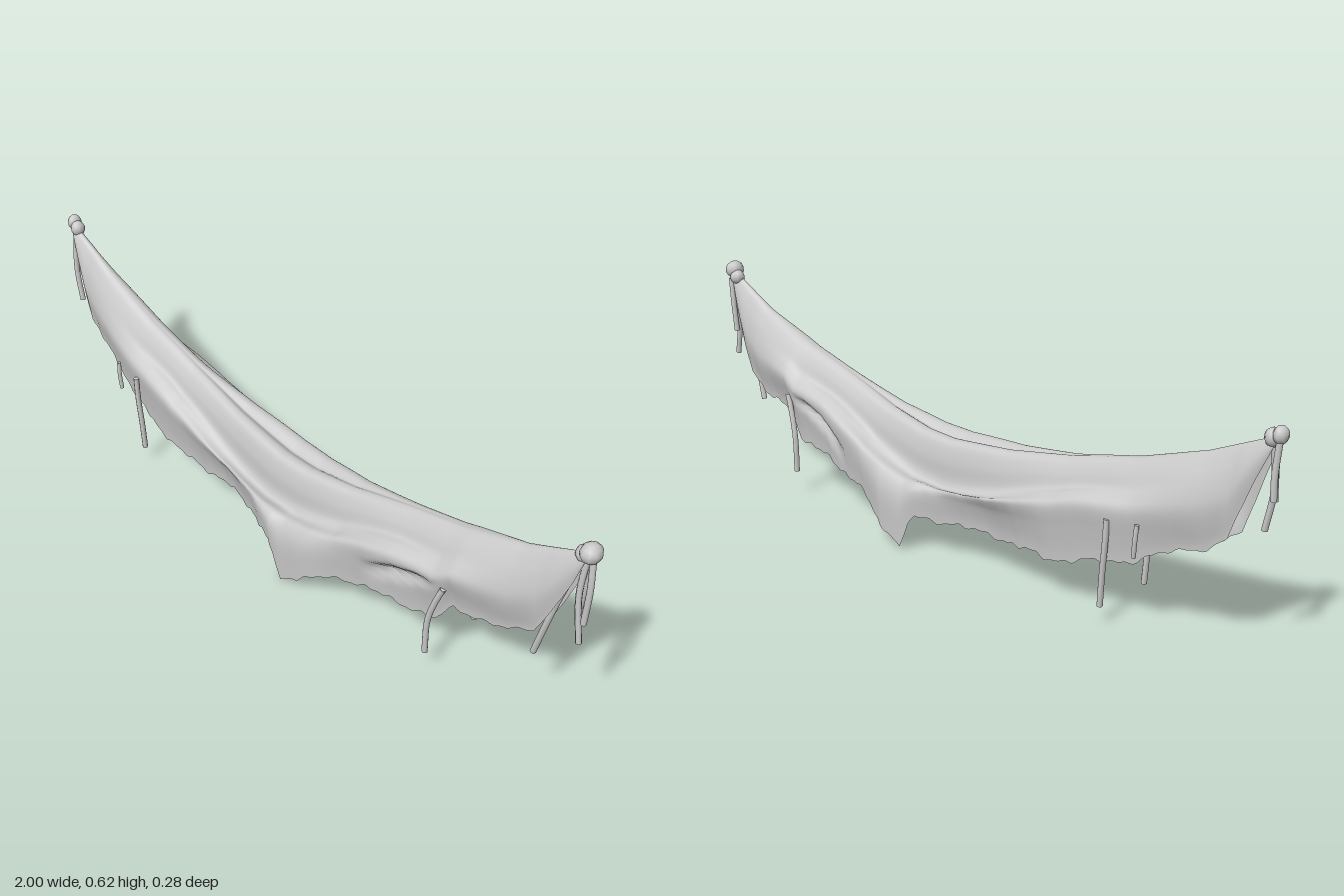
import * as THREE from 'three';

const cloth = new THREE.MeshStandardMaterial({ color: 0xcacaca, side: THREE.DoubleSide });
cloth.name = 'pale grey cloth';

// Linear lookup in a short list of [x, value] pairs
function lookup(list, x) {
  if (x <= list[0][0]) return list[0][1];
  for (let i = 1; i < list.length; i++) {
    const [x0, a] = list[i - 1], [x1, b] = list[i];
    if (x <= x1) return a + (b - a) * (x - x0) / (x1 - x0);
  }
  return list[list.length - 1][1];
}

const ridge = [[-.97, .585], [-.8, .505], [-.6, .432], [-.4, .38], [-.2, .343], [0, .322], [.1, .324],
  [.25, .347], [.4, .385], [.6, .437], [.8, .505], [.97, .59]];
const hem = [[-.97, .56], [-.93, .46], [-.9, .38], [-.88, .32], [-.83, .28], [-.75, .25], [-.63, .19], [-.5, .15],
  [-.4, .122], [-.2, .112], [.05, .11], [.07, .085], [.1, 0], [.13, .03], [.18, .055], [.25, .1], [.3, .12],
  [.4, .14], [.6, .17], [.65, .235], [.8, .26], [.87, .3], [.91, .39], [.95, .5], [.97, .57]];
const halfWidth = [[-.97, .012], [-.9, .038], [-.8, .06], [-.6, .097], [-.4, .117], [-.2, .131], [0, .136],
  [.2, .134], [.4, .123], [.6, .103], [.8, .06], [.9, .038], [.97, .012]];
// How far the hem tucks back under the bulge
const tuck = [[-.97, 1], [-.85, .65], [-.6, .75], [-.4, .72], [-.2, .52], [-.05, .7], [.06, 1.02], [.18, 1.02],
  [.35, .78], [.6, .65], [.85, .6], [.97, 1]];

// Half cross-sections from ridge to hem, as [outward, height]
const section = pts => new THREE.CatmullRomCurve3(pts.map(([z, y]) => new THREE.Vector3(0, y, z)));
const endSection = section([[0, 1], [.12, .99], [.3, .95], [.52, .86], [.74, .74], [.92, .57], [1, .38], [1, .18], [.93, 0]]);
const sideSection = section([[0, 1], [.08, 1], [.22, .96], [.36, .86], [.46, .75], [.66, .71], [.93, .61], [1, .38], [.95, 0]]);
const midSection = section([[0, .92], [.2, 1], [.38, .97], [.49, .75], [.52, .5], [.6, .41], [.85, .44], [1, .34], [.98, 0]]);

function clothPoint(x, v, side) {
  const low = lookup(hem, x), base = Math.max(low, .108), top = lookup(ridge, x), w = lookup(halfWidth, x);
  const a = Math.abs(x), step = THREE.MathUtils.smoothstep;
  const p = midSection.getPoint(v).lerp(sideSection.getPoint(v), step(a, 0, .48));
  p.lerp(endSection.getPoint(v), step(a, .45, .85));
  const ripple = 1 + .03 * v * Math.sin(11 * x + side) + .025 * v ** 3 * Math.sin(27 * x + 2 * side);
  const curl = 1 + (lookup(tuck, x) - 1) * step(v, .66, 1);
  // Ragged edge and a pinched gather above the left hem
  const jag = .005 * Math.sin(31 * x + side) + .004 * Math.sin(71 * x) + .003 * Math.sin(139 * x);
  const t = THREE.MathUtils.clamp((x - .36) / .26, 0, 1);
  const pinch = .25 * Math.sin(Math.PI * t) * Math.exp(-(((v - .92 + .14 * t) / .03) ** 2));
  const y = base + p.y * (top - base) + (low - base) * v ** 8 + jag * v ** 8 * Math.min(1, w * 12);
  return [x, Math.max(0, y), side * p.z * w * ripple * curl * (1 - pinch) + .008 * x];
}

// Draped sheet, running from the back hem over the ridge to the front hem
function drapedCloth() {
  const nx = 194, half = 40, rows = 2 * half + 1, pos = [], index = [];
  for (let i = 0; i <= nx; i++) {
    for (let j = 0; j < rows; j++) {
      const v = (j - half) / half;
      pos.push(...clothPoint(-.97 + 1.94 * i / nx, Math.abs(v), v < 0 ? -1 : 1));
    }
  }
  for (let i = 0; i < nx; i++) for (let j = 0; j < rows - 1; j++) {
    const a = i * rows + j, b = a + rows;
    index.push(a, a + 1, b + 1, a, b + 1, b);
  }
  const g = new THREE.BufferGeometry();
  g.setAttribute('position', new THREE.Float32BufferAttribute(pos, 3));
  g.setIndex(index);
  g.computeVertexNormals();
  return g;
}

export function createModel() {
  const group = new THREE.Group();
  const add = (name, geometry) => {
    const mesh = new THREE.Mesh(geometry, cloth);
    mesh.name = name;
    group.add(mesh);
    return mesh;
  };
  // Loose strand with closed ends
  const strand = (name, pts, r = .008) => {
    const path = new THREE.CatmullRomCurve3(pts.map(p => new THREE.Vector3(...p)));
    add(name, new THREE.TubeGeometry(path, 10, r, 7));
    for (const t of [0, 1]) {
      const cap = add(name + 'End', new THREE.CircleGeometry(r, 7));
      cap.position.copy(path.getPoint(t));
      cap.lookAt(cap.position.clone().addScaledVector(path.getTangent(t), t ? 1 : -1));
    }
  };
  // Lumpy lobe of a tied knot
  const lobe = (name, x, y, z, rx, ry, rz) => {
    const mesh = add(name, new THREE.SphereGeometry(1, 9, 7));
    mesh.position.set(x, y, z);
    mesh.scale.set(rx, ry, rz);
  };

  add('drapedCloth', drapedCloth());

  lobe('leftKnot', .976, .594, .011, .026, .026, .029);
  lobe('leftKnotLobe', .955, .575, .004, .022, .022, .022);
  lobe('rightKnot', -.983, .592, -.014, .018, .022, .021);
  lobe('rightKnotLobe', -.962, .58, -.01, .021, .023, .021);

  // Strands hanging from the knots
  strand('leftKnotStrand', [[.985, .58, .012], [.993, .5, .018], [.99, .4, .02]]);
  strand('leftKnotStrand', [[.965, .57, .004], [.962, .46, .012], [.98, .33, .012]]);
  strand('leftKnotStrand', [[.975, .57, -.004], [.965, .5, -.008], [.955, .41, -.008]]);
  strand('leftKnotStrand', [[.953, .565, .006], [.905, .4, .008], [.885, .32, .01], [.857, .21, .008]]);
  strand('rightKnotStrand', [[-.985, .58, -.02], [-.982, .5, -.025], [-.984, .44, -.025]]);
  strand('rightKnotStrand', [[-.965, .57, -.01], [-.97, .49, -.004], [-.973, .43, -.002]]);
  strand('rightKnotStrand', [[-.968, .57, -.005], [-.965, .45, .005], [-.948, .35, .005]]);

  // Strands threaded through both sides of the cloth
  for (const s of [-1, 1]) {
    const z = s > 0 ? 0 : .01;
    strand('hemStrand', [[.633, .3, s * .086 + z], [.615, .25, s * .09 + z], [.598, .18, s * .094 + z], [.596, .073, s * .094 + z]]);
    strand('hemStrand', [[-.575, .29, s * .09], [-.572, .22, s * .09], [-.565, .14, s * .088], [-.56, .053, s * .086]]);
    strand('hemStrand', [[-.662, .3, s * .086], [-.66, .26, s * .088], [-.656, .215, s * .086]], .006);
  }
  return group;
}
